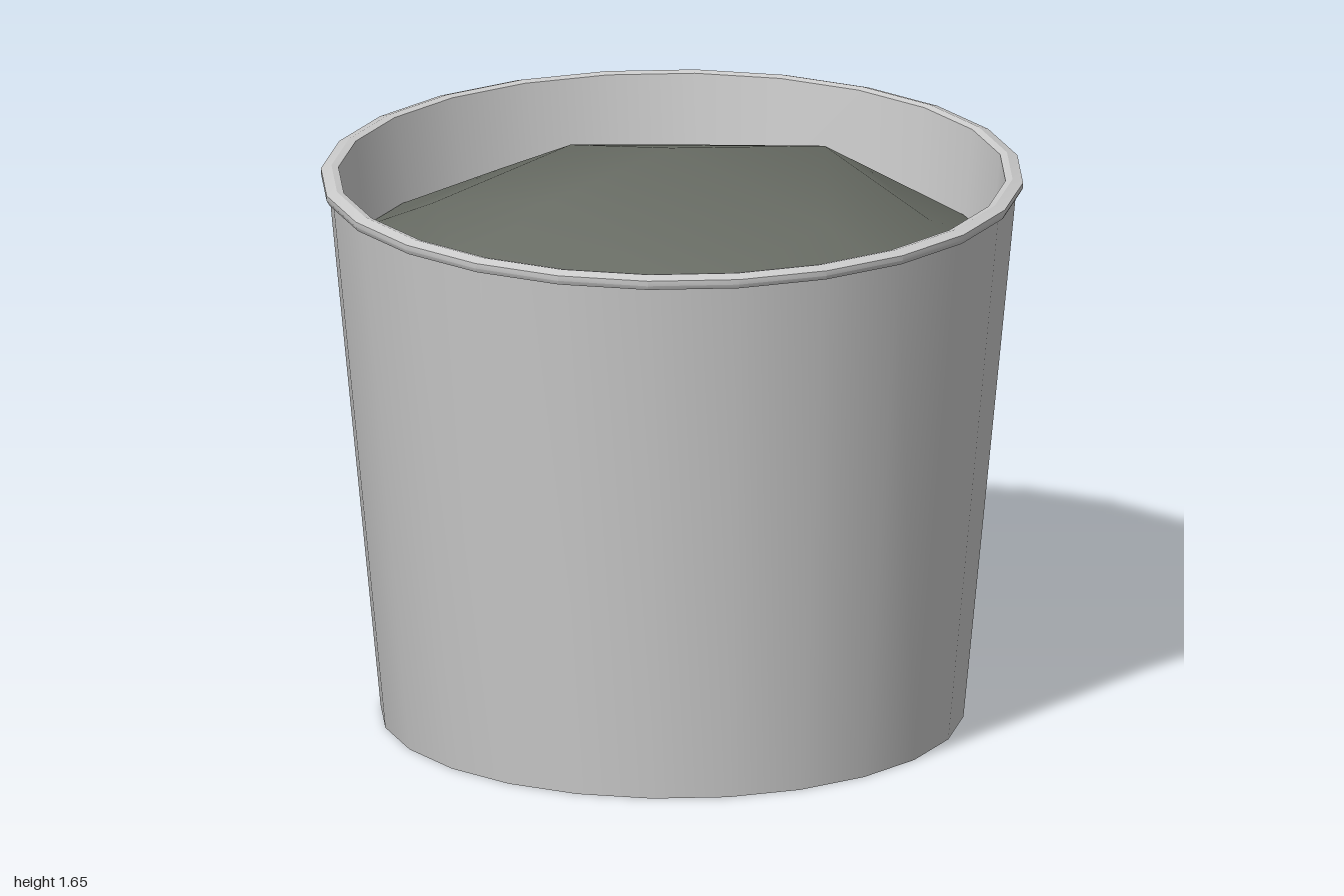
import * as THREE from 'three';
import { toCreasedNormals } from 'three/addons/utils/BufferGeometryUtils.js';

const SIDES = 24;

// Tapered pot wall with a rolled rim, recessed underside and inner floor
function makePot() {
  const profile = [
    [0, 0.05], [0.795, 0.05], [0.795, 0], [0.83, 0],
    [0.98, 1.565], [0.993, 1.567], [1, 1.58], [1, 1.595],
    [0.97, 1.605], [0.95, 1.6], [0.8, 0.06], [0, 0.06],
  ].map(([r, y]) => new THREE.Vector2(r, y));
  const geometry = toCreasedNormals(new THREE.LatheGeometry(profile, SIDES), 0.5);
  const pot = new THREE.Mesh(geometry, new THREE.MeshStandardMaterial({ color: 0xcccccc }));
  pot.name = 'pot';
  return pot;
}

// Irregular heap: a peak and three rings, each ring a multiple of the one inside it
function makeSoil() {
  const polar = (deg, r, y) => {
    const a = THREE.MathUtils.degToRad(deg);
    return [r * Math.cos(a), y, r * Math.sin(a)];
  };
  const rings = [
    [[0.01, 1.655, -0.07]],
    [[0.37, 1.55, 0.4], [-0.4, 1.6, 0.2], [-0.2, 1.55, -0.48], [0.5, 1.56, -0.3]],
    [
      [45, 0.74, 1.44], [95, 0.7, 1.45], [160, 0.7, 1.45], [205, 0.7, 1.46],
      [240, 0.74, 1.44], [285, 0.72, 1.46], [325, 0.78, 1.45], [370, 0.73, 1.46],
    ].map((p) => polar(...p)),
    Array.from({ length: SIDES }, (_, i) => polar(45 + (360 / SIDES) * i, 0.922, 1.35)),
  ];

  const index = [];
  let start = 0;
  for (let k = 0; k < rings.length - 1; k++) {
    const n = rings[k].length, m = rings[k + 1].length, ratio = m / n;
    const next = start + n;
    const near = (j) => start + (Math.floor(j / ratio + 0.5) % n);
    for (let j = 0; j < m; j++) {
      const a = near(j), b = near(j + 1), outer = next + ((j + 1) % m);
      index.push(a, outer, next + j);
      if (a !== b) index.push(a, b, outer);
    }
    start = next;
  }

  const geometry = new THREE.BufferGeometry();
  geometry.setAttribute('position', new THREE.Float32BufferAttribute(rings.flat(2), 3));
  geometry.setIndex(index);
  geometry.computeVertexNormals();
  const soil = new THREE.Mesh(geometry, new THREE.MeshStandardMaterial({ color: 0x686c64 }));
  soil.name = 'soil';
  return soil;
}

export function createModel() {
  const model = new THREE.Group();
  model.name = 'pottedSoil';
  model.add(makePot(), makeSoil());
  return model;
}
